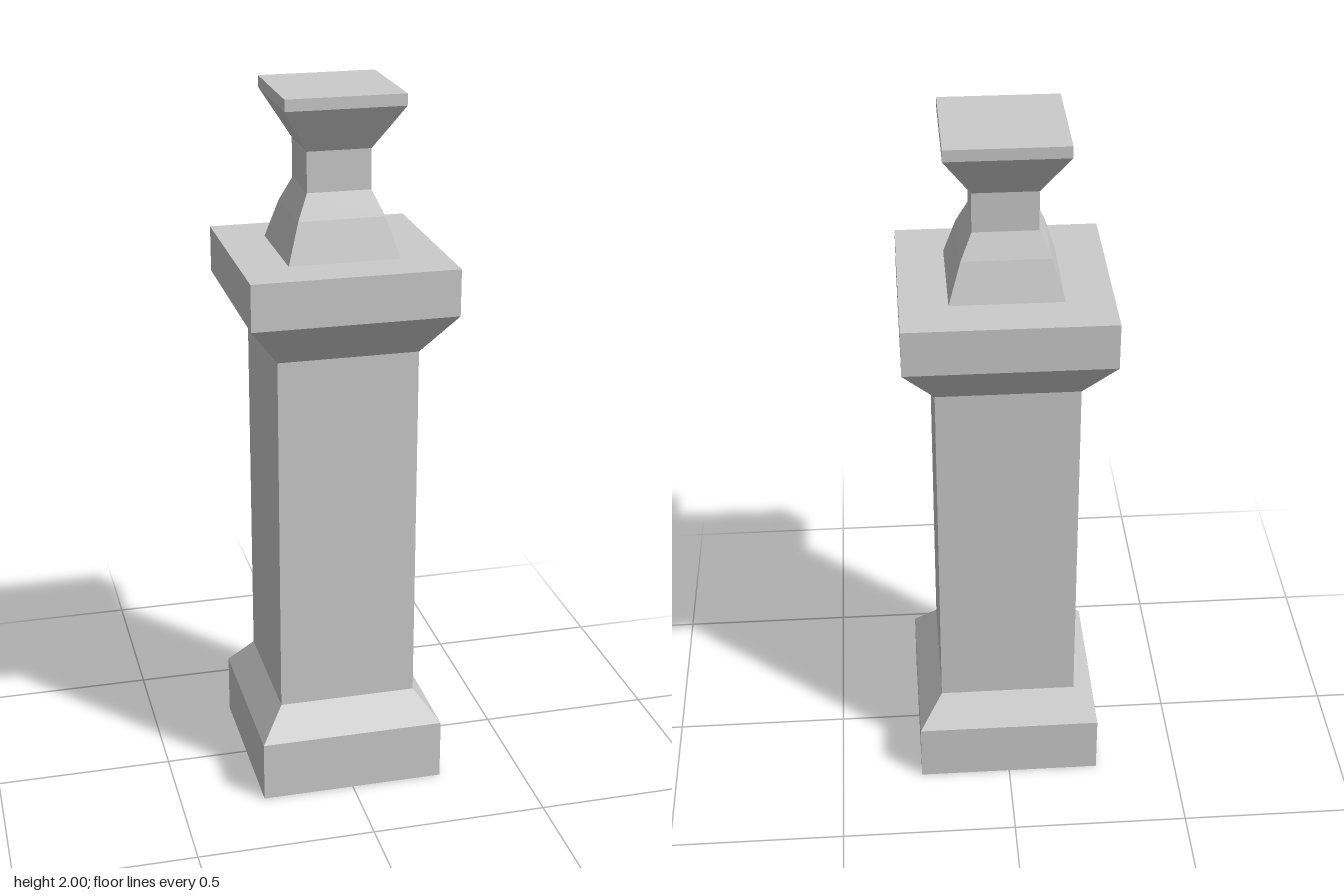
import * as THREE from 'three';

// Square-section solid: each profile point is [half width, height], bottom to top.
function squareTurned(name, profile, material) {
  const points = profile.map(([half, y]) => new THREE.Vector2(half * Math.SQRT2, y));
  const geometry = new THREE.LatheGeometry(points, 4, Math.PI / 4).toNonIndexed();
  geometry.computeVertexNormals();
  const mesh = new THREE.Mesh(geometry, material);
  mesh.name = name;
  return mesh;
}

export function createModel() {
  const group = new THREE.Group();
  group.name = 'pillar';
  const stone = new THREE.MeshStandardMaterial({ color: 0xcccccc, flatShading: true });

  const parts = {
    // Plinth with a sloped shoulder, closed underneath
    base: [[0, 0], [0.263, 0], [0.263, 0.175], [0.196, 0.262]],
    // Plain square column
    shaft: [[0.196, 0.262], [0.196, 1.304]],
    // Flared capital with a flat slab on top
    capital: [[0.196, 1.304], [0.283, 1.425], [0.283, 1.555], [0, 1.555]],
    // Foot, neck and flared head of the finial
    finial: [
      [0.153, 1.555], [0.119, 1.665], [0.088, 1.733], [0.088, 1.844],
      [0.163, 1.968], [0.163, 2], [0, 2],
    ],
  };

  for (const [name, profile] of Object.entries(parts)) {
    group.add(squareTurned(name, profile, stone));
  }
  return group;
}
